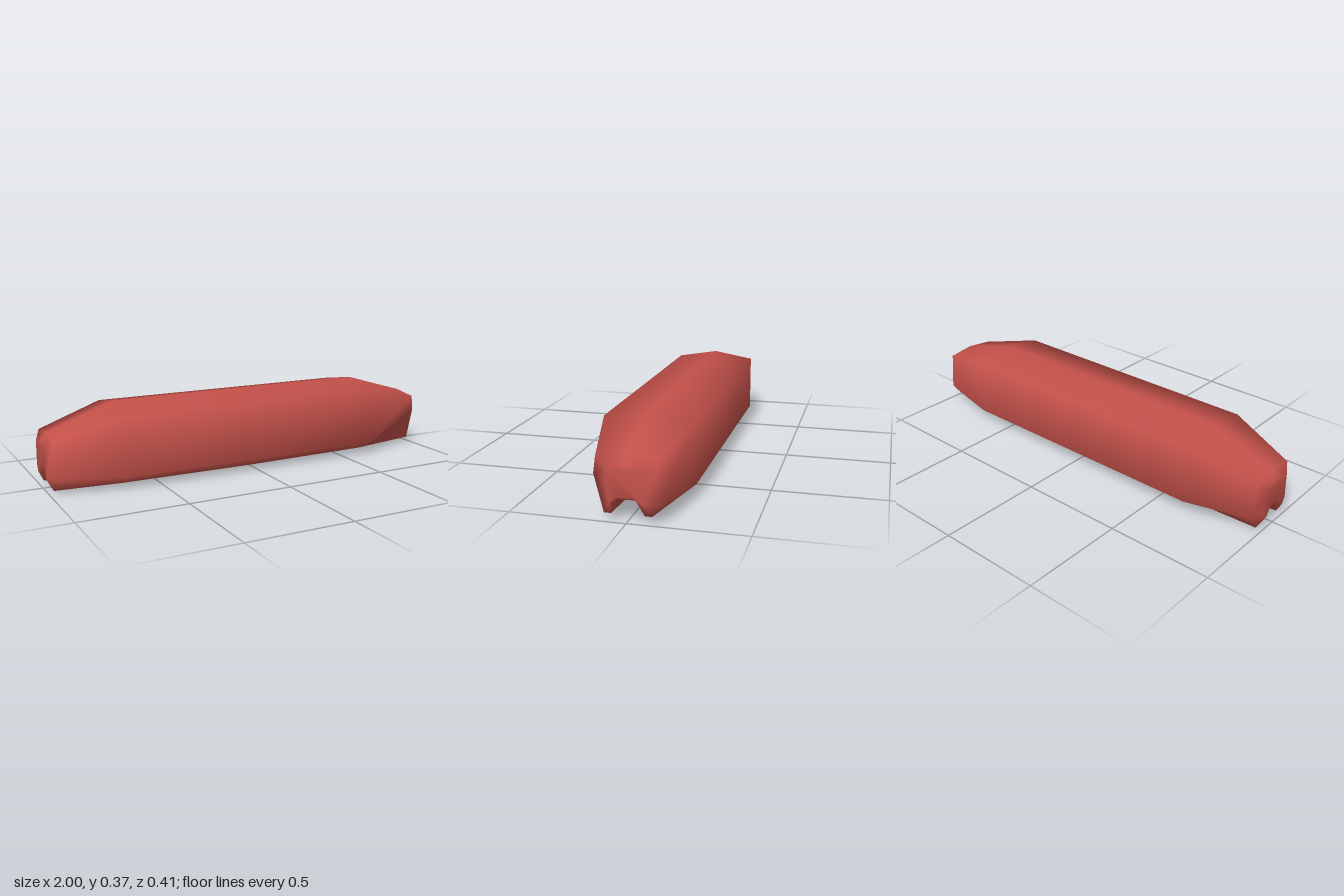
import * as THREE from 'three';

// Cross-section from its outline heights and half-widths; points run from the ridge, down +z, and back up -z.
function section(x, ridge, shoulderY, shoulderZ, hipY, hipZ, footY, footOut, footIn, grooveY, grooveZ, frontHip) {
  const side = [
    [shoulderZ, shoulderY], [hipZ, hipY], [footOut, footY], [footIn, footY], [grooveZ, grooveY],
  ];
  const front = side.map((p) => p.slice());
  if (frontHip) front[1] = frontHip;
  const back = side.map(([z, y]) => [-z, y]).reverse();
  return { x, points: [[0, ridge], ...front, ...back] };
}

// Smooth closed loft through the sections, capped at both ends
function loft(sections) {
  const n = sections[0].points.length;
  const positions = [];
  const index = [];
  for (const s of sections) for (const [z, y] of s.points) positions.push(s.x, y, z);
  for (let i = 0; i < sections.length - 1; i++) {
    for (let k = 0; k < n; k++) {
      const a = i * n + k;
      const c = i * n + (k + 1) % n;
      index.push(a, c, a + n, c, c + n, a + n);
    }
  }
  const cap = (i, facesPlusX) => {
    const p = sections[i].points.map(([z, y]) => new THREE.Vector2(z, y));
    for (const [a, b, c] of THREE.ShapeUtils.triangulateShape(p, [])) {
      const ccw = THREE.ShapeUtils.area([p[a], p[b], p[c]]) > 0;
      const t = ccw === facesPlusX ? [a, c, b] : [a, b, c];
      index.push(...t.map((v) => v + i * n));
    }
  };
  cap(0, false);
  cap(sections.length - 1, true);
  const geometry = new THREE.BufferGeometry();
  geometry.setAttribute('position', new THREE.Float32BufferAttribute(positions, 3));
  geometry.setIndex(index);
  geometry.computeVertexNormals();
  return geometry;
}

export function createModel() {
  const red = new THREE.MeshStandardMaterial({ color: 0xc4514a });
  red.name = 'brick red';

  // Long ridged bar with tapered ends and a groove between two runners underneath
  const body = new THREE.Mesh(loft([
    section(-1.0, 0.215, 0.205, 0.085, 0.09, 0.09, 0.06, 0.075, 0.06, 0.1, 0.035),
    section(-0.975, 0.255, 0.245, 0.125, 0.07, 0.132, 0.012, 0.1, 0.07, 0.085, 0.038),
    section(-0.66, 0.37, 0.335, 0.203, 0.06, 0.203, 0.003, 0.1, 0.07, 0.07, 0.042),
    section(0, 0.37, 0.335, 0.203, 0.06, 0.203, 0, 0.1, 0.07, 0.07, 0.042),
    section(0.66, 0.37, 0.335, 0.203, 0.06, 0.203, 0.006, 0.1, 0.07, 0.07, 0.042),
    section(0.975, 0.278, 0.262, 0.13, 0.085, 0.145, 0.028, 0.1, 0.07, 0.09, 0.038, [0.14, 0.19]),
    section(1.0, 0.235, 0.225, 0.08, 0.12, 0.085, 0.085, 0.07, 0.055, 0.108, 0.035, [0.085, 0.17]),
  ]), red);
  body.name = 'groovedBar';

  const group = new THREE.Group();
  group.name = 'bar';
  group.add(body);
  return group;
}
